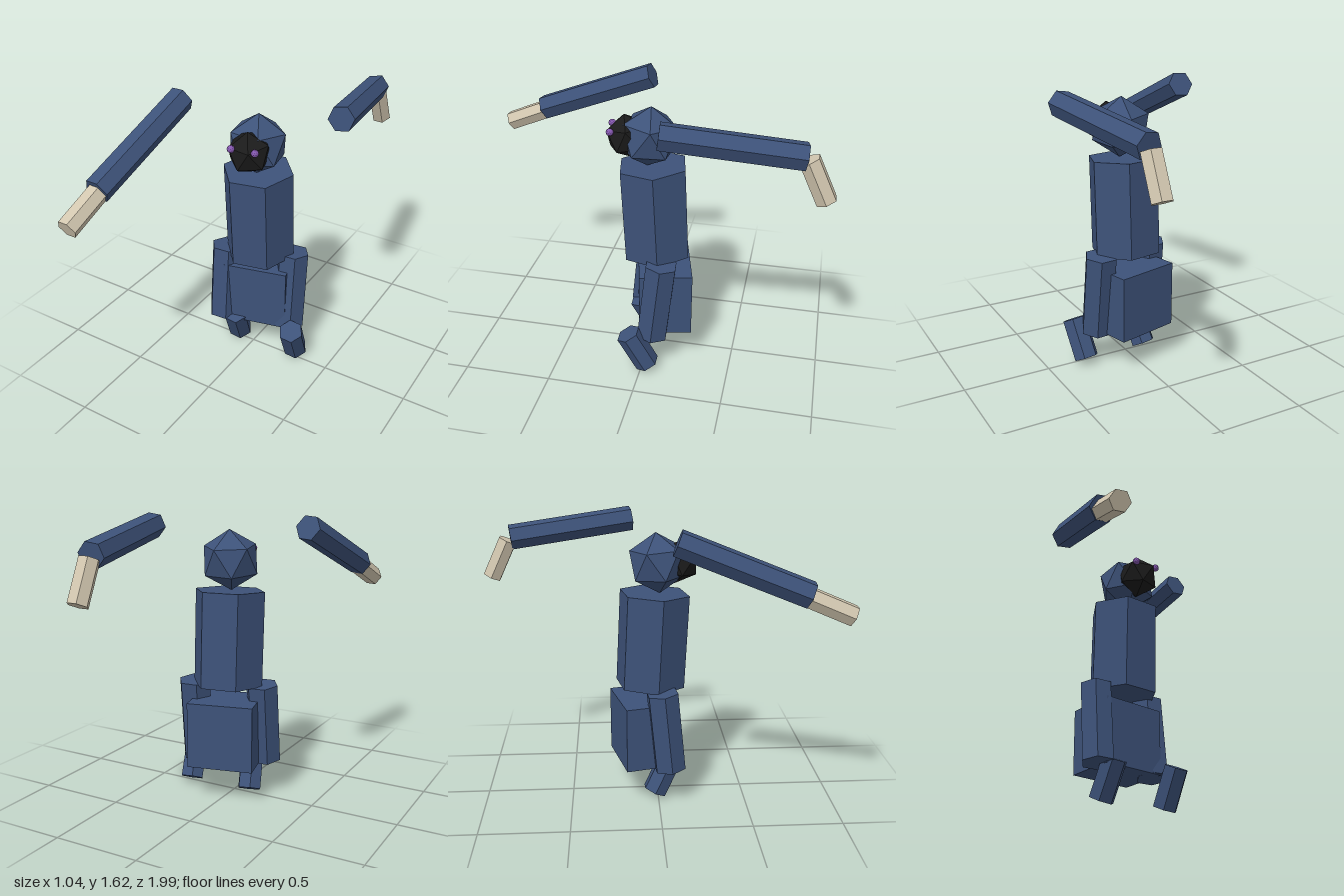
import * as THREE from 'three';

const mat = (name, color) => Object.assign(new THREE.MeshStandardMaterial({ color }), { name });
const UP = new THREE.Vector3(0, 1, 0);

// Gives every face its own flat normal
function faceted(geometry) {
  const flat = geometry.index ? geometry.toNonIndexed() : geometry;
  flat.computeVertexNormals();
  return flat;
}

// Six-sided prism running from one end centre to the other, corners towards +-x, turned by yaw
function prism(name, from, to, radius, material, yaw = 0) {
  const a = new THREE.Vector3(...from), b = new THREE.Vector3(...to);
  const dir = b.clone().sub(a);
  const geometry = new THREE.CylinderGeometry(radius, radius, dir.length(), 6);
  geometry.rotateY(Math.PI / 6 + yaw);
  const mesh = new THREE.Mesh(faceted(geometry), material);
  mesh.name = name;
  mesh.position.copy(a).add(b).multiplyScalar(0.5);
  mesh.quaternion.setFromUnitVectors(UP, dir.normalize());
  return mesh;
}

// Twenty-sided ball standing on a corner, leaning forward by lean
function ball(name, center, radius, material, lean = 0, detail = 0) {
  const geometry = new THREE.IcosahedronGeometry(radius, detail);
  geometry.rotateZ(Math.atan(2 / (1 + Math.sqrt(5))));
  geometry.rotateY(THREE.MathUtils.degToRad(-96));
  geometry.rotateX(lean);
  const mesh = new THREE.Mesh(faceted(geometry), material);
  mesh.name = name;
  mesh.position.set(...center);
  return mesh;
}

export function createModel() {
  const model = new THREE.Group();
  model.name = 'figure';
  const cloth = mat('navy cloth', 0x3d5279);
  const bone = mat('pale bone', 0xd2c7b0);
  const dark = mat('black mask', 0x1b1b1b);
  const glow = mat('purple eyes', 0x8558b0);

  // Head, mask and eyes
  model.add(
    ball('head', [0.028, 1.365, 0.005], 0.171, cloth, -0.065),
    ball('mask', [0.046, 1.367, 0.12], 0.123, dark, 0.15),
    ball('rightEye', [-0.006, 1.412, 0.217], 0.021, glow, 0, 1),
    ball('leftEye', [0.127, 1.412, 0.197], 0.021, glow, 0, 1),
  );

  // Torso and pelvis, turned slightly towards the left
  model.add(prism('torso', [0.021, 0.66, -0.04], [0.021, 1.198, -0.013], 0.203, cloth, 0.2));
  const pelvis = new THREE.Mesh(new THREE.BoxGeometry(0.376, 0.378, 0.3), cloth);
  pelvis.name = 'pelvis';
  pelvis.position.set(0.009, 0.394, -0.08);
  pelvis.rotation.y = 0.24;
  model.add(pelvis);

  // Floating arms: one reaching forward, one reaching back
  model.add(
    prism('rightArm', [-0.405, 1.555, 0.08], [-0.453, 1.29, 0.756], 0.074, cloth),
    prism('rightHand', [-0.453, 1.282, 0.74], [-0.463, 1.181, 0.98], 0.058, bone),
    prism('leftArm', [0.444, 1.551, -0.13], [0.332, 1.463, -0.833], 0.073, cloth),
    prism('leftHand', [0.331, 1.233, -0.949], [0.331, 1.447, -0.847], 0.057, bone),
  );

  // Thighs and shins
  model.add(
    prism('rightThigh', [-0.167, 0.207, 0.065], [-0.166, 0.667, 0.02], 0.095, cloth, 0.1),
    prism('leftThigh', [0.212, 0.203, -0.05], [0.205, 0.676, -0.1], 0.095, cloth, 0.1),
    prism('rightShin', [-0.11, 0.035, -0.022], [-0.078, 0.24, 0.08], 0.072, cloth),
    prism('leftShin', [0.275, 0.035, -0.035], [0.298, 0.245, 0.072], 0.072, cloth),
  );
  return model;
}
